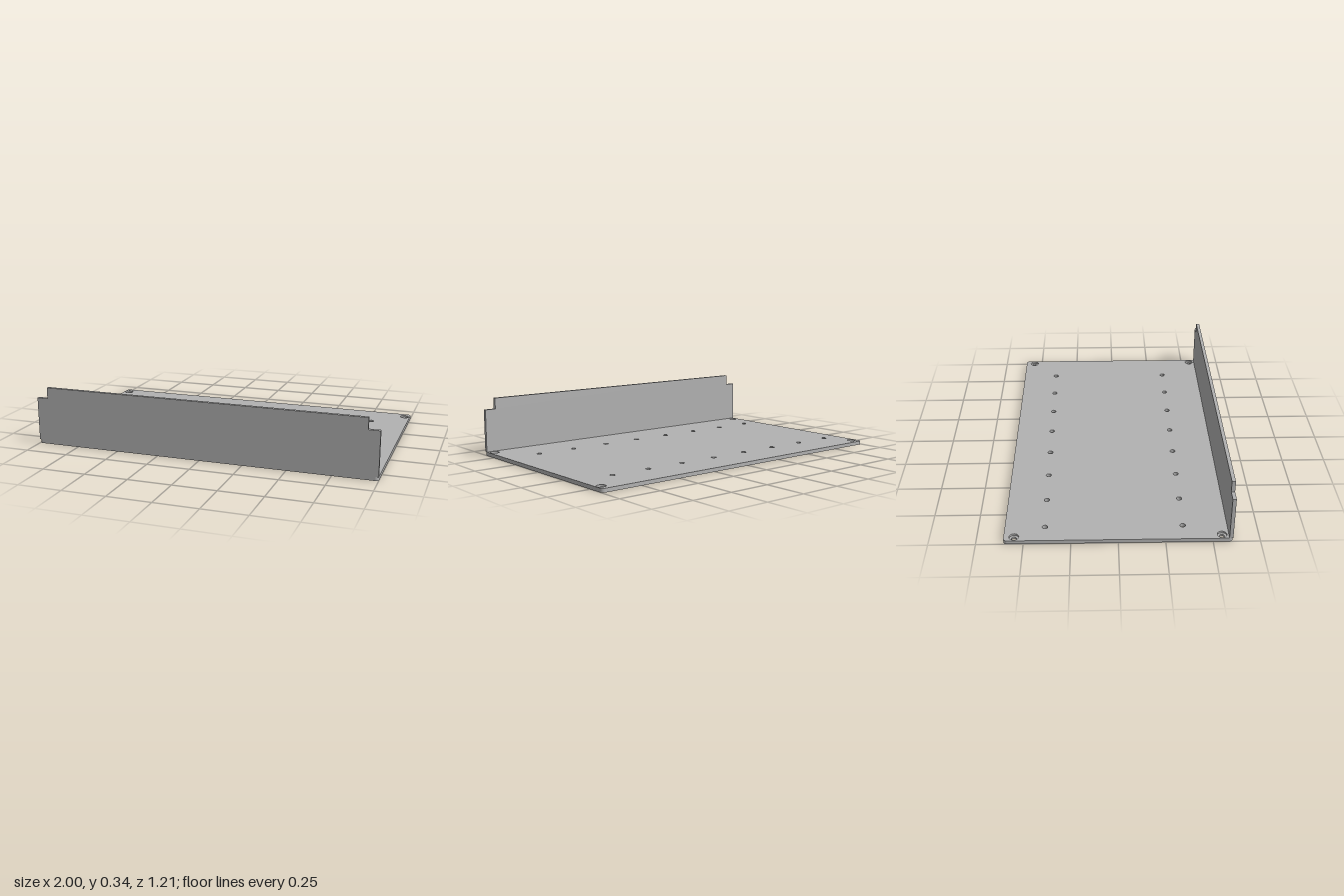
import * as THREE from 'three';

const W = 1, D = 0.605, T = 0.022; // half width, half depth, sheet thickness

// Rounded rectangular plate outline; shape y becomes -z once laid flat
function plateShape(r, holes) {
  const s = new THREE.Shape();
  s.absarc(W - r, D - r, r, 0, Math.PI / 2);
  s.absarc(-W + r, D - r, r, Math.PI / 2, Math.PI);
  s.absarc(-W + r, -D + r, r, Math.PI, Math.PI * 1.5);
  s.absarc(W - r, -D + r, r, Math.PI * 1.5, Math.PI * 2);
  for (const [x, z, radius] of holes) {
    s.holes.push(new THREE.Path().absarc(x, -z, radius, 0, Math.PI * 2, true));
  }
  return s;
}

export function createModel() {
  const group = new THREE.Group();
  const grey = new THREE.MeshStandardMaterial({ color: 0xb2b2b2 });
  grey.name = 'grey metal';

  const add = (name, shape, depth) => {
    const geo = new THREE.ExtrudeGeometry(shape, { depth, bevelEnabled: false, curveSegments: 10 });
    const mesh = new THREE.Mesh(geo, grey);
    mesh.name = name;
    group.add(mesh);
    return mesh;
  };

  // Two rows of eight through holes
  const rowHoles = [];
  for (const z of [-0.39, 0.348]) {
    for (let i = 0; i < 8; i++) rowHoles.push([-0.887 + i * 0.2386, z, 0.015]);
  }
  // Counterbored corner holes
  const corners = (radius) => [-1, 1].flatMap((sx) => [-1, 1].map((sz) => [sx * 0.967, sz * 0.55, radius]));

  // Base plate in two layers: narrow corner holes below, wide ones above
  const lower = add('basePlateLower', plateShape(0.02, [...rowHoles, ...corners(0.013)]), T / 2);
  lower.rotation.x = -Math.PI / 2;
  const upper = add('basePlateUpper', plateShape(0.02, [...rowHoles, ...corners(0.026)]), T / 2);
  upper.rotation.x = -Math.PI / 2;
  upper.position.y = T / 2;

  // Upright front panel with notched top corners
  const panel = new THREE.Shape([
    [-W, T], [W, T], [W, 0.275], [0.935, 0.275], [0.935, 0.34],
    [-0.935, 0.34], [-0.935, 0.275], [-W, 0.275],
  ].map(([x, y]) => new THREE.Vector2(x, y)));
  add('frontPanel', panel, 0.02).position.z = D - 0.02;

  return group;
}
